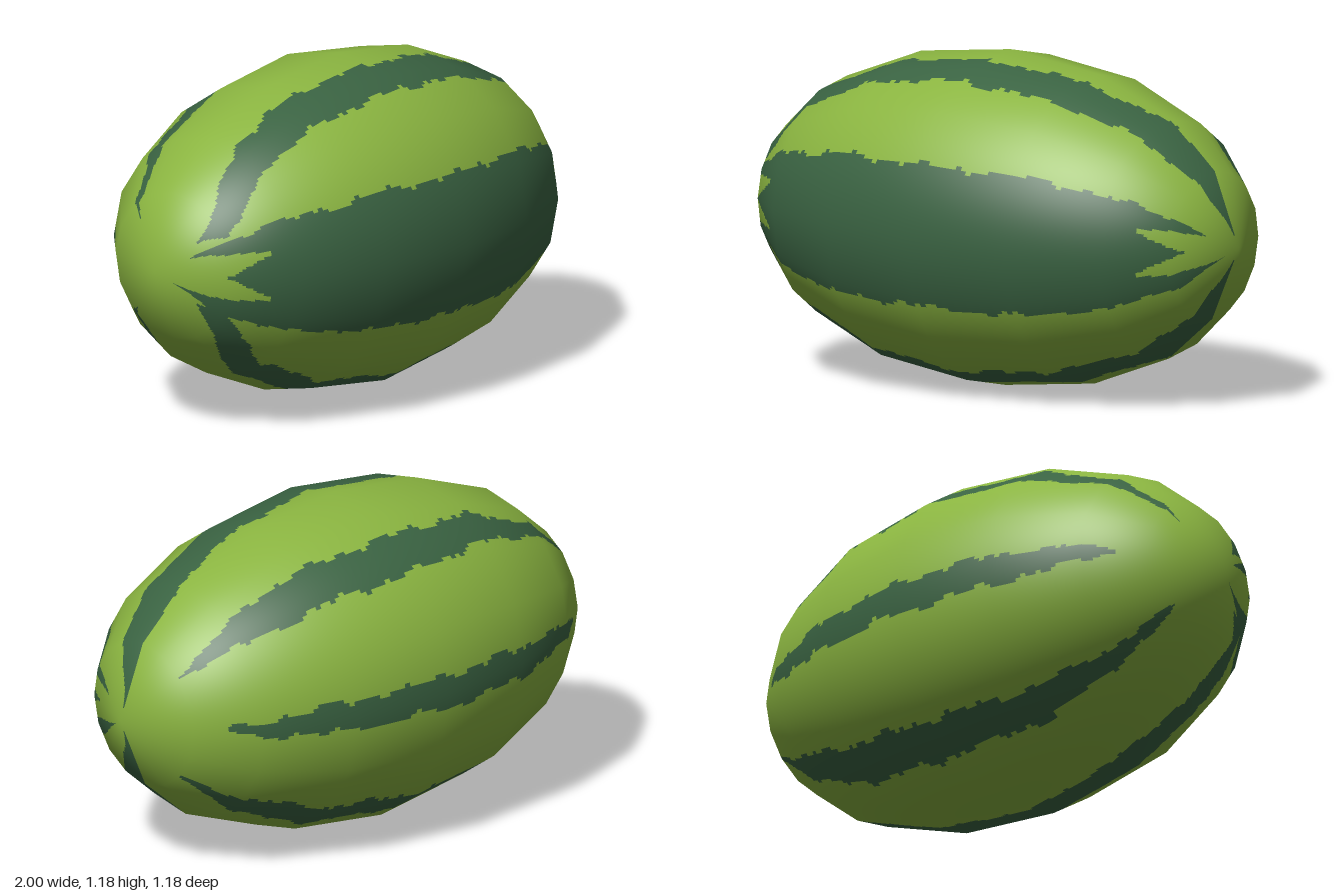
import * as THREE from 'three';

const SIDES = 16, PER_SIDE = 15, PER_RING = 18;
// [x, radius] of the faceted rind, tip to tip
const HALF = [[0.89, 0.26], [0.705, 0.42], [0.385, 0.543]];
const PROFILE = [[-1, 0], ...HALF.map(([x, r]) => [-x, r]), [0, 0.59],
  ...HALF.slice().reverse(), [1, 0]];

// Stripe edges: [x, from, to], in degrees around the long axis
const NEAR_TOP = [[-0.93, 50, 50], [-0.88, 37, 60], [-0.8, 24, 46], [-0.69, 14, 33], [-0.4, 10, 29],
  [0, 12, 28.5], [0.35, 9, 28], [0.6, 6, 26], [0.8, 0, 26], [0.93, 0, 22], [0.98, 0, 8]];
const BACK_TOP = [[-0.92, 41, 42], [-0.86, 35, 42], [-0.7, 31, 40], [-0.4, 27, 41], [0, 29.5, 45.6],
  [0.4, 29, 46], [0.6, 30, 47], [0.75, 36, 47], [0.89, 44, 46]];
const FRONT = [[-0.98, 62, 120], [-0.88, 61, 123], [-0.6, 62.5, 119], [0, 65, 115],
  [0.6, 62, 119], [0.9, 63, 121], [0.98, 66, 118]];
const BACK_MIDDLE = [[-0.82, 271, 271], [-0.72, 266, 274], [-0.4, 264, 276], [0, 264, 276],
  [0.5, 265, 276], [0.74, 267, 274], [0.8, 270, 272]];

const flip = (table) => table.map(([x, a, b]) => [x, 180 - b, 180 - a]);
const around = (table) => table.map(([x, a, b]) => [x, 360 - b, 360 - a]);
const STRIPES = [NEAR_TOP, flip(NEAR_TOP), FRONT, BACK_MIDDLE,
  around(BACK_TOP), around(flip(BACK_TOP))];

// Linear lookup of a table row at x, or null beyond its ends
function lookup(table, x) {
  for (let i = 1; i < table.length; i++) {
    const p = table[i - 1], q = table[i];
    if (x >= p[0] && x <= q[0]) {
      const t = (x - p[0]) / (q[0] - p[0]);
      return p.map((v, k) => v + (q[k] - v) * t);
    }
  }
  return null;
}

// Ragged edge in degrees
const ragged = (x, seed) =>
  0.9 * Math.sin(x * 17 + seed * 2.1) + 0.8 * Math.sin(x * 41 + seed * 5.3) + 0.5 * Math.sin(x * 93 + seed);

// Pale forked notch in both ends of the front stripe
function inNotch(x, deg) {
  const row = lookup([[0.79, 13, 14], [0.87, 7, 17], [0.92, 0, 19], [0.97, 0, 27], [1, 0, 32]],
    Math.abs(x) + (x < 0 ? 0.02 : 0));
  const d = Math.abs(deg - 90);
  return row !== null && d >= row[1] && d <= row[2];
}

function isStripe(x, deg) {
  return STRIPES.some((table, s) => {
    const row = lookup(table, x);
    if (!row) return false;
    // The straight edges along the crown and base stay clean
    const lo = row[1] <= 0.5 ? 0 : row[1] + ragged(x, s);
    const hi = row[2] >= 179.5 && row[2] <= 180.5 ? 180 : row[2] + ragged(x, s + 9);
    return deg >= lo && deg <= hi && !(table === FRONT && inNotch(x, deg));
  });
}

export function createModel() {
  const rindGreen = new THREE.MeshStandardMaterial({ color: 0x8ab440 });
  rindGreen.name = 'rind green';
  const stripeGreen = new THREE.MeshStandardMaterial({ color: 0x3a6342 });
  stripeGreen.name = 'stripe green';

  const cols = (PROFILE.length - 1) * PER_RING, around360 = SIDES * PER_SIDE;
  const positions = [], normals = [], xs = [];
  const facet = (2 * Math.PI) / SIDES;
  const n = new THREE.Vector3();

  // Faceted surface with smooth normals
  for (let i = 0; i <= cols; i++) {
    const k = Math.min(Math.floor(i / PER_RING), PROFILE.length - 2);
    const t = i / PER_RING - k;
    const [x0, r0] = PROFILE[k], [x1, r1] = PROFILE[k + 1];
    const x = x0 + (x1 - x0) * t, r = r0 + (r1 - r0) * t;
    xs.push(x);
    for (let j = 0; j <= around360; j++) {
      const phi = (j / around360) * 2 * Math.PI;
      const flat = Math.cos(facet / 2) / Math.cos((phi % facet) - facet / 2);
      const y = r * flat * Math.cos(phi), z = r * flat * Math.sin(phi);
      positions.push(x, y, z);
      n.set(x, y / 0.348, z / 0.348).normalize();
      normals.push(n.x, n.y, n.z);
    }
  }

  // Sort the cells into rind and stripes
  const rind = [], stripes = [];
  for (let i = 0; i < cols; i++) {
    for (let j = 0; j < around360; j++) {
      const target = isStripe((xs[i] + xs[i + 1]) / 2, ((j + 0.5) / around360) * 360) ? stripes : rind;
      const a = i * (around360 + 1) + j, b = a + around360 + 1;
      if (i > 0) target.push(a, a + 1, b);
      if (i < cols - 1) target.push(a + 1, b + 1, b);
      else if (i === cols - 1) continue;
      if (i === 0) continue;
    }
  }

  const position = new THREE.Float32BufferAttribute(positions, 3);
  const normal = new THREE.Float32BufferAttribute(normals, 3);
  const melon = new THREE.Group();
  melon.name = 'melon';
  const addPart = (name, index, material) => {
    const geometry = new THREE.BufferGeometry();
    geometry.setAttribute('position', position);
    geometry.setAttribute('normal', normal);
    geometry.setIndex(index);
    const mesh = new THREE.Mesh(geometry, material);
    mesh.name = name;
    melon.add(mesh);
  };
  addPart('rind', rind, rindGreen);
  addPart('stripes', stripes, stripeGreen);

  // Lies with a very slight tilt
  melon.rotation.z = -0.02;
  melon.position.y = 0.592;
  const model = new THREE.Group();
  model.name = 'watermelon';
  model.add(melon);
  return model;
}
